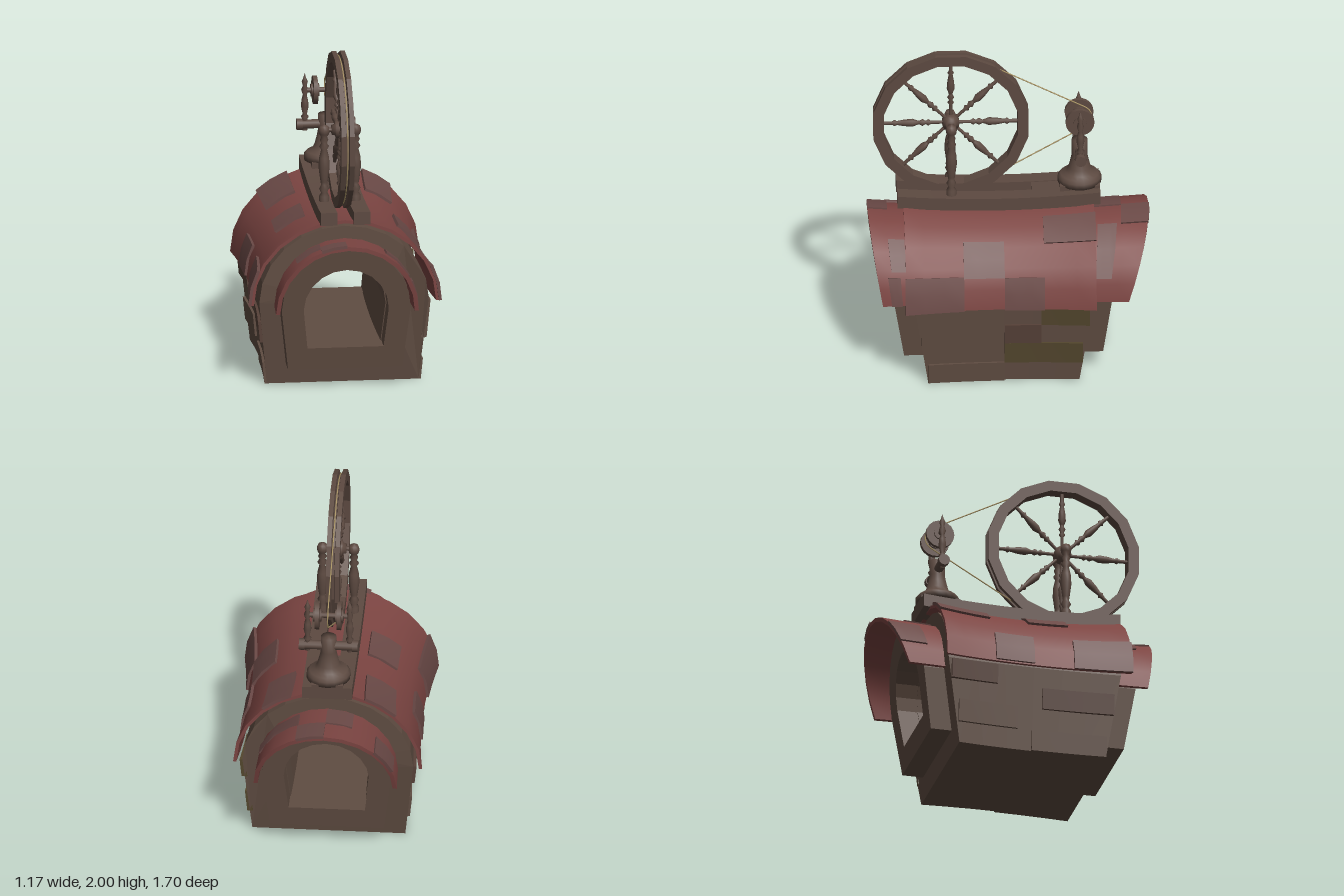
import * as THREE from 'three';

const CX = -0.02; // centre line of the building
const mat = (color, flat = false) => new THREE.MeshStandardMaterial({ color, flatShading: flat });
const RED = mat(0x7c4542), TILE = mat(0x6b4a47), STONE = mat(0x604d42), BRICK = mat(0x574138),
  OLIVE = mat(0x54472e), WOOD = mat(0x5d4a41), RIM = mat(0x5d4a41, true), CORD = mat(0xb09a6a);

// 0 at the middle of the building, 1 at its ends
const sag = z => ((z - 0.06) / 0.57) ** 2;

export function createModel() {
  const model = new THREE.Group();
  const add = (name, geometry, material, x = 0, y = 0, z = 0, parent = model) => {
    const mesh = new THREE.Mesh(geometry, material);
    mesh.name = name;
    mesh.position.set(x, y, z);
    parent.add(mesh);
    return mesh;
  };
  const warp = (geometry, fn) => {
    const p = geometry.attributes.position;
    for (let i = 0; i < p.count; i++) p.setXYZ(i, ...fn(p.getX(i), p.getY(i), p.getZ(i)));
    geometry.computeVertexNormals();
    return geometry;
  };
  // curved slab: u runs u0..u1, offset o0..o1, z z0..z1 on a surface function
  const slab = (fn, u0, u1, o0, o1, z0, z1, nu = 2, nz = 3) =>
    warp(new THREE.BoxGeometry(1, 1, 1, nu, 1, nz), (x, y, z) =>
      fn(u1 + (u0 - u1) * (x + 0.5), o0 + (o1 - o0) * (y + 0.5), z0 + (z1 - z0) * (z + 0.5)));
  const lathe = (pts, n = 12) => new THREE.LatheGeometry(pts.map(p => new THREE.Vector2(...p)), n);
  const rod = (r, len, n = 12) => new THREE.CylinderGeometry(r, r, len, n).rotateZ(Math.PI / 2);

  // arched outline: straight leaning sides, half-round head
  const arch = (w0, y0, w1, y1, top, n, Type = THREE.Shape) => {
    const pts = [new THREE.Vector2(CX - w0, y0), new THREE.Vector2(CX + w0, y0)];
    for (let i = 0; i <= n; i++) {
      const a = Math.PI * i / n;
      pts.push(new THREE.Vector2(CX + w1 * Math.cos(a), y1 + (top - y1) * Math.sin(a)));
    }
    return new Type(pts);
  };
  const tunnelBlock = (outline, z0, z1, steps) => {
    outline.holes.push(arch(0.23, 0.26, 0.257, 0.51, 0.77, 10, THREE.Path));
    return new THREE.ExtrudeGeometry(outline, { depth: z1 - z0, steps, bevelEnabled: false }).translate(0, 0, z0);
  };

  // main body with a passage, waisted and leaning outward at both ends
  add('body', warp(tunnelBlock(arch(0.47, 0, 0.525, 0.53, 1.02, 12), -0.41, 0.5, 6), (x, y, z) => {
    const k = Math.min(1, sag(z));
    const t = (z - 0.045) / 0.455;
    return [CX + (x - CX) * (1 - 0.06 * (1 - k)), y - Math.max(0, y - 0.53) * 0.1 * (1 - k),
      z + t * 0.15 * Math.min(y, 0.56)];
  }), STONE);

  // door surrounds
  add('frontSurround', warp(tunnelBlock(arch(0.345, 0.125, 0.39, 0.51, 0.91, 12), 0.45, 0.62, 1),
    (x, y, z) => [x, y, z > 0.6 ? z + 0.16 * y : z]), STONE);
  add('backSurround', warp(tunnelBlock(arch(0.345, 0.125, 0.39, 0.51, 0.91, 12), -0.54, -0.37, 1),
    (x, y, z) => [x, y, z < -0.5 ? z - 0.14 * y : z]), STONE);

  // main roof, sagging at the middle
  const roof = (a, o, z) => {
    const k = sag(z);
    return [CX + (0.51 + 0.04 * k + o) * Math.cos(a), 0.53 + (0.46 + 0.04 * k + o) * Math.sin(a), z];
  };
  add('roof', slab(roof, 0, Math.PI, 0, 0.02, -0.51, 0.635, 12, 10), RED);

  // porch roofs, whose lips reach furthest at the crown
  const porch = (root, crown, eave) => (a, o, t) => {
    const s = Math.sin(a);
    return [CX + (0.395 + 0.012 * t + o) * Math.cos(a), 0.51 + (0.385 + 0.025 * t + o) * s,
      root + (eave + (crown - eave) * s - root) * t];
  };
  const frontPorch = porch(0.55, 0.845, 0.77), backPorch = porch(-0.43, -0.845, -0.71);
  // the back porch runs its parameter from lip to root, keeping z ascending
  const backRev = (a, o, t) => backPorch(a, o, 1 - t);
  add('frontPorchRoof', slab(frontPorch, 0, Math.PI, 0, 0.025, 0, 1, 12, 3), RED);
  add('backPorchRoof', slab(backRev, 0, Math.PI, 0, 0.025, 0, 1, 12, 3), RED);

  // raised roof tiles: surface, angles, z range
  const P = Math.PI;
  const tiles = [
    [roof, 0, 0.43, 0.285, 0.64], [roof, 0.41, 0.85, 0.04, 0.285], [roof, 0, 0.41, -0.2, 0.04],
    [roof, 0.82, 1.17, -0.515, -0.2],
    [roof, P - 0.43, P, 0.285, 0.64], [roof, P - 1.18, P - 0.79, 0.04, 0.285],
    [roof, P - 0.42, P - 0.02, -0.2, 0.04], [roof, P - 1.17, P - 0.78, -0.515, -0.2],
    [frontPorch, 0.5, 0.98, 0.3, 0.65], [frontPorch, P - 1.2, P - 0.8, 0.3, 0.65],
    [frontPorch, P / 2 + 0.02, P / 2 + 0.38, 0.6, 1.01], [frontPorch, 0, 0.42, 0.45, 0.75],
    [backRev, P - 0.8, P - 0.35, -0.01, 0.5], [backRev, P / 2 - 0.4, P / 2, -0.01, 0.4],
    [backRev, P / 2, P / 2 + 0.38, 0.4, 0.8], [backRev, 0.35, 1.17, 0.46, 0.75],
  ];
  tiles.forEach(([fn, a0, a1, z0, z1]) =>
    add('roofTile', slab(fn, a0, a1, 0.015, 0.034, z0, z1), TILE));

  // raised wall bricks on both sides: side, y range, z range, material
  const bricks = [
    [1, 0.27, 0.51, 0.28, 0.54, STONE], [1, 0, 0.13, 0.04, 0.5, STONE], [1, 0.13, 0.27, -0.43, 0.04, OLIVE],
    [1, 0.4, 0.52, -0.47, -0.18, OLIVE], [1, 0.27, 0.4, -0.18, 0.04, BRICK],
    [-1, 0, 0.13, 0.04, 0.5, STONE], [-1, 0.27, 0.4, 0.1, 0.54, BRICK], [-1, 0.13, 0.27, -0.42, -0.05, STONE],
    [-1, 0.4, 0.52, -0.47, -0.18, BRICK],
  ];
  bricks.forEach(([s, y0, y1, z0, z1, m]) => {
    const wall = (y, o, z) => {
      const w = 0.47 + 0.055 * y / 0.53;
      return [CX + s * (w * (1 - 0.06 * (1 - Math.min(1, sag(z)))) + o), y, z];
    };
    add('wallBrick', s > 0 ? slab(wall, y0, y1, -0.02, 0.014, z0, z1) : slab(wall, y1, y0, -0.02, 0.014, z0, z1), m);
  });

  // ridge beams with a slot for the wheel
  const beam = (x, o, z) => [x, 1 + 0.025 * sag(z) + o, z];
  for (const s of [-1, 1])
    add('ridgeBeam', slab(beam, CX + s * 0.1 + 0.05, CX + s * 0.1 - 0.05, 0, 0.08, -0.55, 0.67, 1, 10), WOOD);
  add('ridgeInfill', slab(beam, CX + 0.06, CX - 0.06, 0, 0.075, -0.55, -0.14, 1, 4), WOOD);

  // grooved drive wheel
  const wheel = new THREE.Group();
  wheel.name = 'driveWheel';
  wheel.position.set(CX, 1.533, 0.345);
  model.add(wheel);
  add('rim', lathe([[0.41, -0.04], [0.475, -0.04], [0.475, -0.012], [0.445, -0.008], [0.445, 0.008],
    [0.475, 0.012], [0.475, 0.04], [0.41, 0.04], [0.41, -0.04]], 16).rotateY(P / 16).rotateZ(P / 2), RIM, 0, 0, 0, wheel);
  add('hub', lathe([[0, -0.05], [0.03, -0.05], [0.035, -0.03], [0.052, -0.025], [0.052, 0.025],
    [0.035, 0.03], [0.03, 0.05], [0, 0.05]], 16).rotateZ(P / 2), WOOD, 0, 0, 0, wheel);
  const spoke = lathe([[0.01, 0.03], [0.01, 0.12], [0.02, 0.135], [0.01, 0.15], [0.021, 0.17], [0.011, 0.19],
    [0.013, 0.2], [0.024, 0.23], [0.02, 0.28], [0.012, 0.325], [0.02, 0.338], [0.011, 0.352], [0.011, 0.42]], 10);
  for (let i = 0; i < 8; i++) add('spoke', spoke, WOOD, 0, 0, 0, wheel).rotation.x = i * P / 4;
  add('axle', rod(0.013, 0.2), WOOD, 0, 0, 0, wheel);

  // turned posts holding the axle
  const post = lathe([[0.03, 1.06], [0.03, 1.12], [0.018, 1.14], [0.03, 1.165], [0.018, 1.19], [0.022, 1.21],
    [0.034, 1.3], [0.03, 1.36], [0.018, 1.41], [0.03, 1.43], [0.017, 1.45], [0.026, 1.47], [0.018, 1.49],
    [0.031, 1.51], [0.034, 1.533], [0.026, 1.555], [0, 1.568]], 12);
  for (const s of [-1, 1]) add('wheelPost', post, WOOD, CX + s * 0.095, 0, 0.345);

  // bell-shaped pedestal with crossbar
  const pz = -0.43;
  add('pedestalBase', new THREE.BoxGeometry(0.19, 0.06, 0.24), WOOD, CX, 1.095, pz);
  add('pedestal', lathe([[0, 1.115], [0.132, 1.115], [0.132, 1.15], [0.115, 1.168], [0.085, 1.18], [0.068, 1.21],
    [0.055, 1.26], [0.047, 1.3], [0.047, 1.4], [0, 1.4]], 18), WOOD, CX, 0, pz);
  add('crossbar', rod(0.028, 0.31), WOOD, CX, 1.337, pz);
  const pin = lathe([[0, 1.3], [0.016, 1.3], [0.016, 1.37], [0.024, 1.385], [0.013, 1.4], [0.024, 1.45],
    [0.02, 1.49], [0.012, 1.52], [0.022, 1.55], [0.012, 1.58], [0.019, 1.605], [0.01, 1.625], [0, 1.657]], 10);
  for (const s of [-1, 1]) {
    add('crossbarEnd', rod(0.035, 0.035), WOOD, CX + s * 0.16, 1.337, pz);
    add('spindlePin', pin, WOOD, CX + s * 0.127, 0, pz);
    add('pulley', rod(0.087, 0.026, 18), WOOD, CX + s * 0.066, 1.55, pz);
    add('pulleyCollar', rod(0.04, 0.05), WOOD, CX + s * 0.066, 1.55, pz);
  }
  add('spindle', rod(0.016, 0.27), WOOD, CX, 1.55, pz);

  // drive cord: tangents wrapped round the wheel groove and the spindle
  const R = 0.45, r = 0.075, dist = 0.345 - pz, b = Math.acos((R - r) / dist);
  const cord = new THREE.CurvePath();
  const loop = [];
  const ring = (cy, cz, rad, a0, a1, n) => {
    for (let i = 0; i <= n; i++) {
      const a = a0 + (a1 - a0) * i / n;
      loop.push(new THREE.Vector3(CX, cy + rad * Math.sin(a), cz - rad * Math.cos(a)));
    }
  };
  ring(1.533, 0.345, R, b, 2 * P - b, 24);
  ring(1.55, pz, r, -b, b, 8);
  loop.forEach((p, i) => cord.add(new THREE.LineCurve3(p, loop[(i + 1) % loop.length])));
  add('driveCord', new THREE.TubeGeometry(cord, 160, 0.004, 5, true), CORD);

  return model;
}
